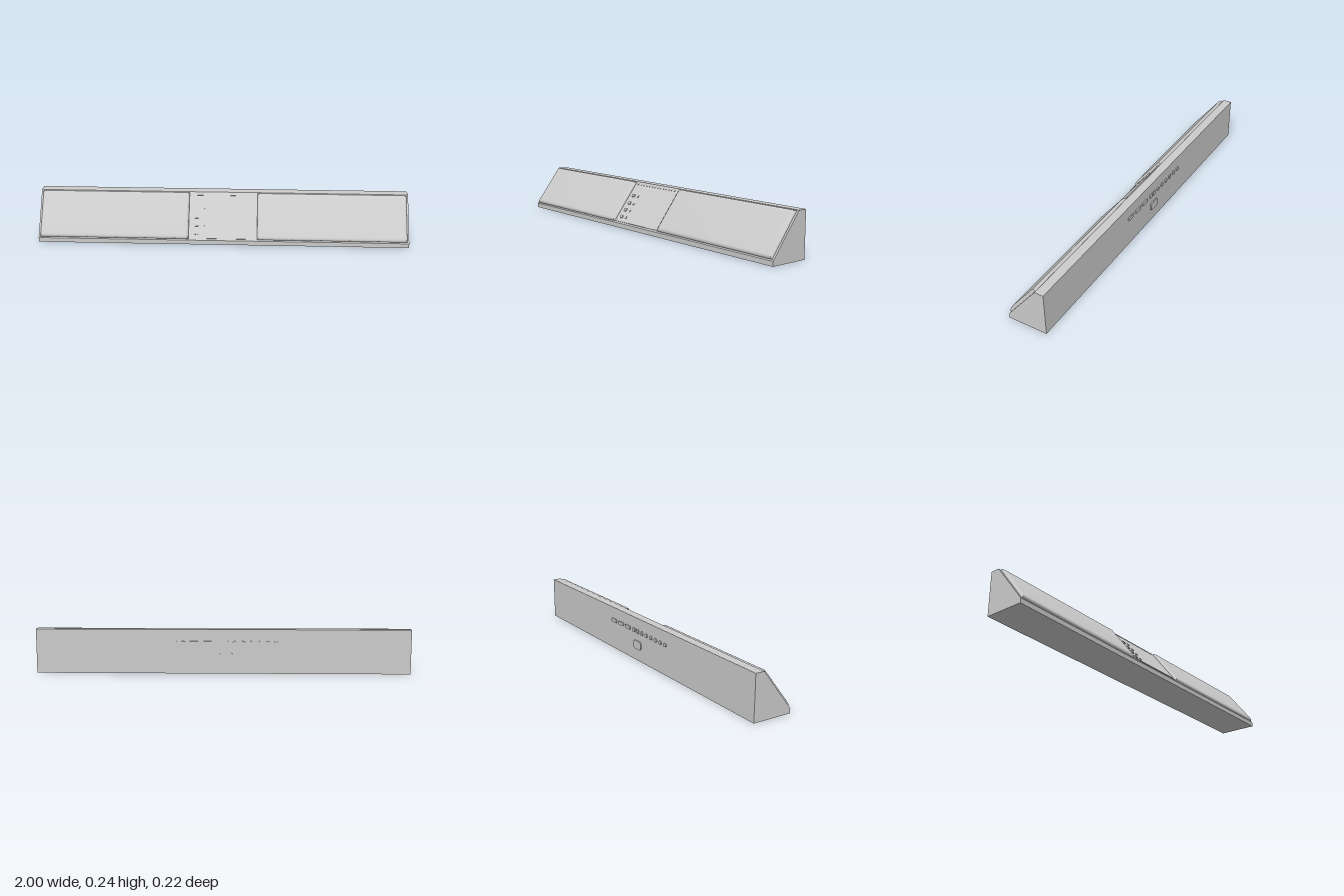
import * as THREE from 'three';
import { toCreasedNormals } from 'three/addons/utils/BufferGeometryUtils.js';

const grey = new THREE.MeshStandardMaterial({ color: 0xcccccc });

function add(parent, name, geometry, x = 0, y = 0, z = 0) {
  const mesh = new THREE.Mesh(geometry, grey);
  mesh.name = name;
  mesh.position.set(x, y, z);
  parent.add(mesh);
  return mesh;
}

// Rectangle with rounded corners, centred on the origin
function roundedRect(w, h, r) {
  const s = new THREE.Shape();
  const x = w / 2, y = h / 2;
  s.moveTo(-x + r, -y);
  s.lineTo(x - r, -y);
  s.absarc(x - r, -y + r, r, -Math.PI / 2, 0);
  s.absarc(x - r, y - r, r, 0, Math.PI / 2);
  s.absarc(-x + r, y - r, r, Math.PI / 2, Math.PI);
  s.absarc(-x + r, -y + r, r, Math.PI, Math.PI * 1.5);
  return s;
}

function plate(w, h, r, depth) {
  const g = new THREE.ExtrudeGeometry(roundedRect(w, h, r), { depth, bevelEnabled: false, curveSegments: 6 });
  return toCreasedNormals(g, 0.6);
}

// Speaker cover: flat face with softly rolled, mitred edges
function coverGeometry(w, h, rise, roll) {
  const x = w / 2 - roll, y = h / 2 - roll;
  const s = new THREE.Shape([
    new THREE.Vector2(-x, -y), new THREE.Vector2(x, -y),
    new THREE.Vector2(x, y), new THREE.Vector2(-x, y),
  ]);
  const g = new THREE.ExtrudeGeometry(s, {
    depth: 0.002, bevelThickness: rise, bevelSize: roll, bevelSegments: 6,
  });
  return toCreasedNormals(g, 0.5);
}

export function createModel() {
  const model = new THREE.Group();
  model.name = 'soundbar';

  // Wedge-shaped cabinet, profile drawn as (z, y) and swept along x
  const profile = new THREE.Shape([
    [-0.103, 0], [0.11, 0], [0.11, 0.025], [-0.055, 0.238], [-0.103, 0.238],
  ].map(([z, y]) => new THREE.Vector2(z, y)));
  const cabinet = new THREE.ExtrudeGeometry(profile, { depth: 2, bevelEnabled: false });
  cabinet.translate(0, 0, -1).rotateY(-Math.PI / 2);
  add(model, 'cabinet', cabinet);

  // Sloping front: local y runs up the slope, local z points out of it
  const slope = new THREE.Group();
  slope.name = 'slopingFront';
  slope.position.set(0, 0.1315, 0.0275);
  slope.rotation.x = -Math.atan2(0.165, 0.213);
  model.add(slope);

  // Speaker covers on both sides
  for (const side of [1, -1]) {
    const name = side > 0 ? 'leftSpeakerCover' : 'rightSpeakerCover';
    add(slope, name, coverGeometry(0.805, 0.257, 0.014, 0.024), side * 0.5875, 0.001, 0);
  }

  // Control panel with trim strips along its upper and lower edges
  add(slope, 'controlPanel', new THREE.BoxGeometry(0.35, 0.25, 0.006), 0.005, 0, 0);
  for (const v of [0.118, -0.122]) {
    add(slope, 'panelTrim', new THREE.BoxGeometry(0.33, 0.007, 0.006), -0.003, v, 0.002);
  }

  // Two columns of buttons
  for (const y of [0.166, 0.127, 0.092, 0.057]) {
    const v = (y - 0.1315) / 0.79;
    add(slope, 'button', plate(0.02, 0.018, 0.004, 0.006), -0.143, v, 0.002);
    add(slope, 'smallButton', plate(0.012, 0.012, 0.003, 0.005), -0.106, v, 0.002);
  }

  // Rear connectors
  const back = new THREE.Group();
  back.name = 'rearConnectors';
  back.position.z = -0.1;
  back.rotation.y = Math.PI;
  model.add(back);
  for (const x of [0.228, 0.155, 0.082]) {
    add(back, 'wideSocket', plate(0.052, 0.02, 0.007, 0.009), -x, 0.165, 0);
  }
  for (const x of [0.018, -0.018]) {
    add(back, 'squareSocket', plate(0.024, 0.022, 0.004, 0.008), -x, 0.165, 0);
  }
  for (let i = 0; i < 6; i++) {
    const disc = new THREE.CylinderGeometry(0.011, 0.011, 0.009, 20).rotateX(Math.PI / 2);
    add(back, 'roundSocket', disc, 0.062 + i * 0.0445, 0.165, 0.0045);
  }
  add(back, 'powerInlet', plate(0.07, 0.046, 0.012, 0.009), 0.018, 0.089, 0);

  return model;
}
